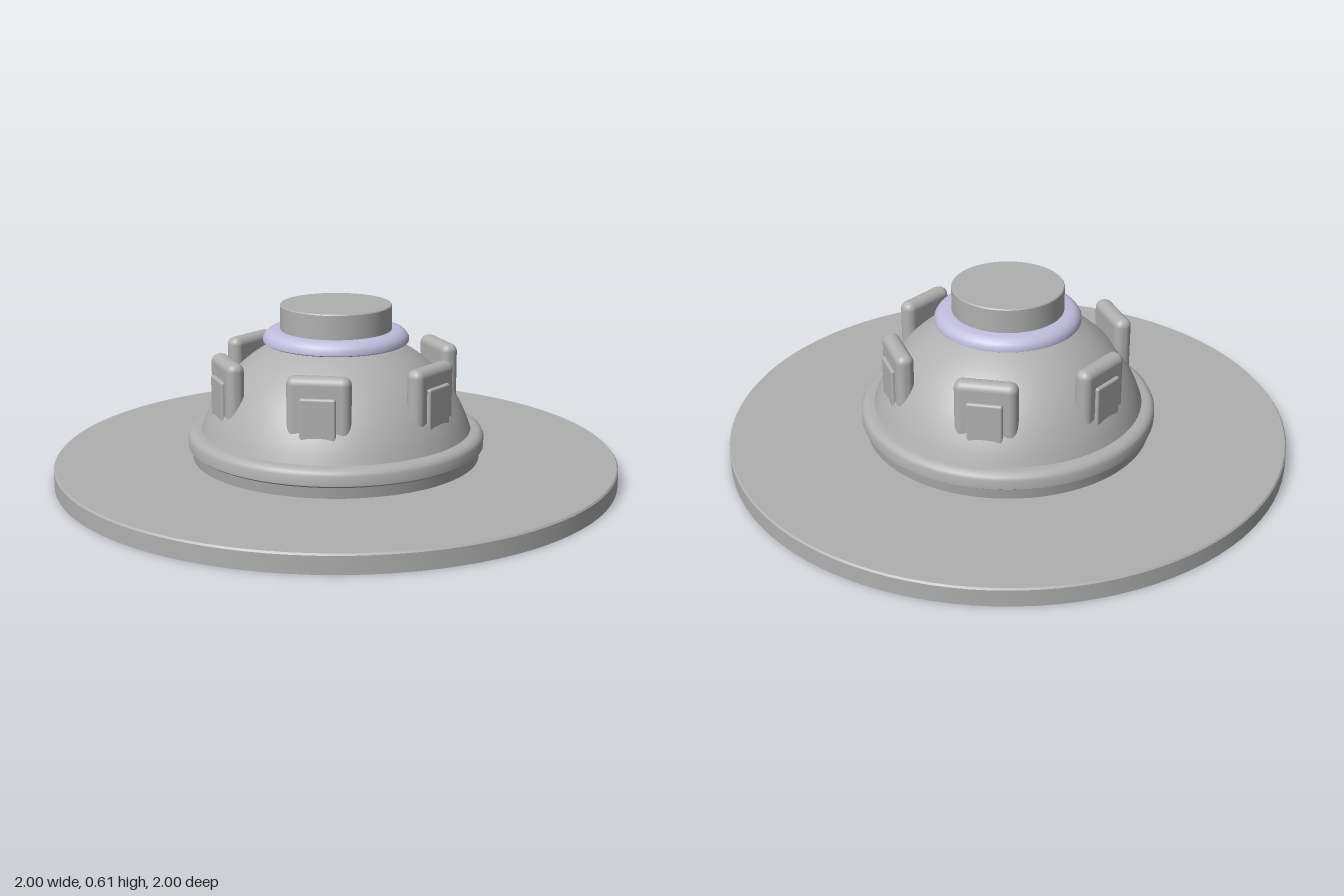
import * as THREE from 'three';
import { RoundedBoxGeometry } from 'three/addons/geometries/RoundedBoxGeometry.js';
import { toCreasedNormals } from 'three/addons/utils/BufferGeometryUtils.js';

const grey = new THREE.MeshStandardMaterial({ color: 0xb0b0b0 });
grey.name = 'grey metal';
const lilac = new THREE.MeshStandardMaterial({ color: 0xc0bedd });
lilac.name = 'pale lilac';

function add(parent, name, geometry, material) {
  const mesh = new THREE.Mesh(geometry, material);
  mesh.name = name;
  parent.add(mesh);
  return mesh;
}

// Revolved part with smooth sides and sharp edges, profile from bottom to top
function turned(points) {
  const profile = points.map(([r, y]) => new THREE.Vector2(r, y));
  return toCreasedNormals(new THREE.LatheGeometry(profile, 96), 0.6);
}

export function createModel() {
  const model = new THREE.Group();
  model.name = 'domedHub';

  // Wide flat disc
  add(model, 'baseDisc', turned([[0, 0], [1, 0], [1, 0.06], [0.995, 0.066], [0, 0.066]]), grey);

  // Rounded flange around the foot of the dome
  add(model, 'flange', turned([
    [0.51, 0.06], [0.517, 0.105], [0.527, 0.112], [0.527, 0.145],
    [0.522, 0.156], [0.512, 0.164], [0.5, 0.168], [0.47, 0.168],
  ]), grey);

  // Convex dome
  const curve = new THREE.SplineCurve([
    [0.483, 0.16], [0.458, 0.225], [0.42, 0.295], [0.37, 0.36],
    [0.31, 0.415], [0.25, 0.455], [0.19, 0.485],
  ].map(([r, y]) => new THREE.Vector2(r, y)));
  add(model, 'dome', new THREE.LatheGeometry(curve.getPoints(32), 96), grey);

  // Lilac collar with a rounded upper edge
  add(model, 'collar', turned([
    [0.18, 0.478], [0.25, 0.478], [0.257, 0.482], [0.257, 0.497], [0.25, 0.508],
    [0.24, 0.518], [0.225, 0.524], [0.18, 0.524],
  ]), lilac);

  // Top cap
  add(model, 'cap', turned([[0.197, 0.48], [0.197, 0.608], [0.194, 0.612], [0, 0.612]]), grey);

  // Six upright lugs, each with a smaller raised panel facing outward
  const plate = new RoundedBoxGeometry(0.216, 0.22, 0.062, 4, 0.028);
  const panel = new RoundedBoxGeometry(0.122, 0.148, 0.04, 3, 0.008);
  for (let i = 0; i < 6; i++) {
    const lug = new THREE.Group();
    lug.name = 'lug' + (i + 1);
    lug.rotation.y = Math.PI / 2 + i * Math.PI / 3;
    add(lug, 'lugPlate', plate, grey).position.set(0, 0.34, 0.403);
    add(lug, 'lugPanel', panel, grey).position.set(0, 0.308, 0.426);
    model.add(lug);
  }
  return model;
}
